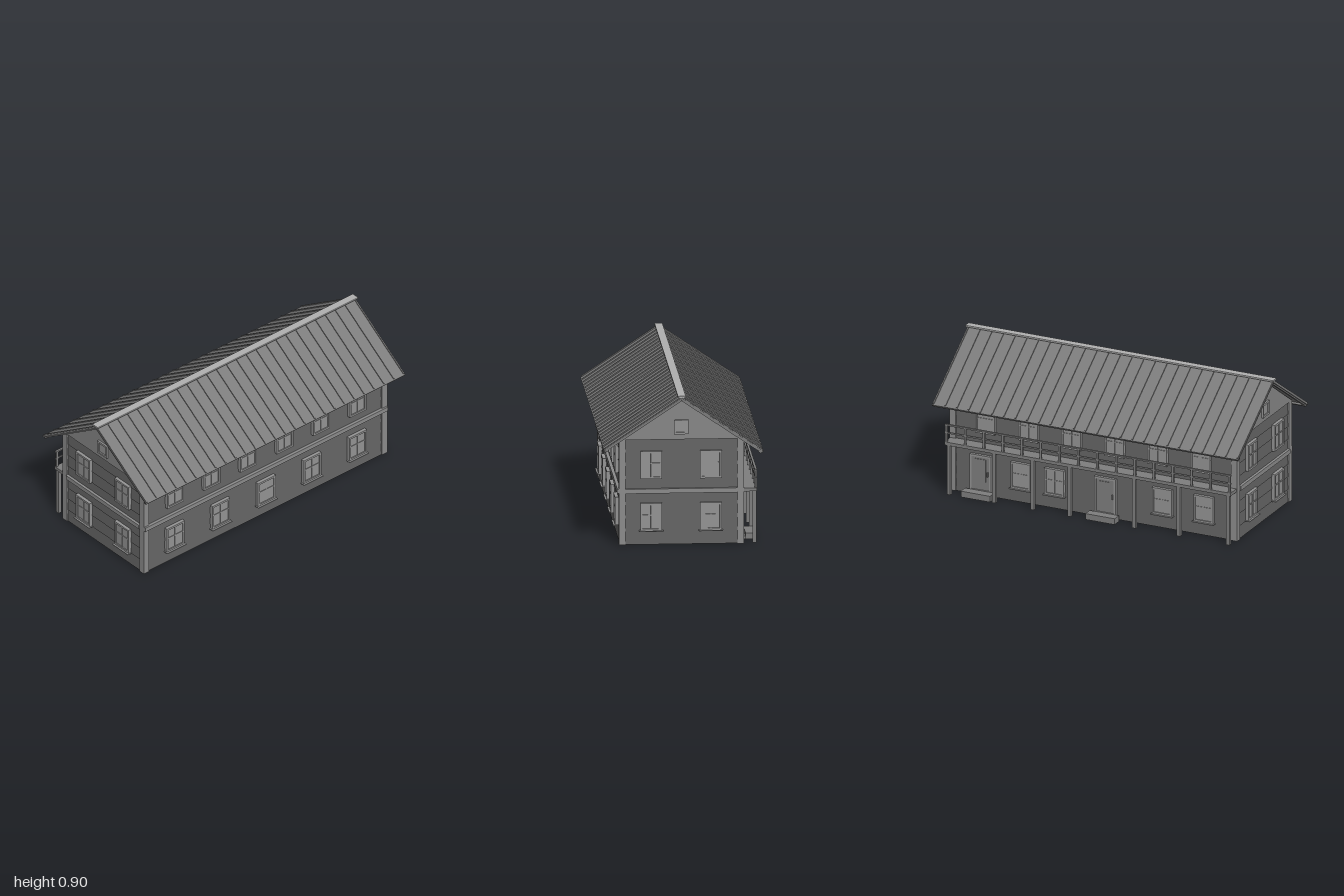
import * as THREE from 'three';

const paint = color => new THREE.MeshStandardMaterial({ color, side: THREE.DoubleSide });
const SIDING = paint(0x636363), TRIM = paint(0x8c8c8c), FRAME = paint(0x949494), GABLE = paint(0x878787);
const ROOF = paint(0x7c7c7c), RIDGE = paint(0xb0b0b0), TIMBER = paint(0x7e7e7e);
const RIGHT = 0.925, FRONT = 0.366, BACK = -0.346, MID = 0.01;

function box(parent, material, name, w, h, d, x, y, z) {
  const mesh = new THREE.Mesh(new THREE.BoxGeometry(w, h, d), material);
  mesh.name = name;
  mesh.position.set(x, y, z);
  parent.add(mesh);
  return mesh;
}

function group(parent, name, x = 0, y = 0, z = 0, turn = 0) {
  const g = new THREE.Group();
  g.name = name;
  g.position.set(x, y, z);
  g.rotation.y = turn;
  parent.add(g);
  return g;
}

// Rectangular casing with an opening, facing +z
function casing(parent, name, w, h, bar, depth) {
  const shape = new THREE.Shape();
  shape.moveTo(-w / 2, -h / 2).lineTo(w / 2, -h / 2).lineTo(w / 2, h / 2).lineTo(-w / 2, h / 2).closePath();
  const a = w / 2 - bar, b = h / 2 - bar, hole = new THREE.Path();
  hole.moveTo(-a, -b).lineTo(-a, b).lineTo(a, b).lineTo(a, -b).closePath();
  shape.holes.push(hole);
  const mesh = new THREE.Mesh(new THREE.ExtrudeGeometry(shape, { depth, bevelEnabled: false }), FRAME);
  mesh.name = name;
  parent.add(mesh);
}

function addWindow(parent, x, y, z, turn, { w = 0.127, h = 0.165, sill = false, muntins = true } = {}) {
  const g = group(parent, 'window', x, y, z, turn);
  casing(g, 'windowFrame', w, h, 0.012, 0.022);
  box(g, FRAME, 'glass', w - 0.02, h - 0.02, 0.012, 0, 0, 0.009);
  if (muntins) {
    box(g, FRAME, 'verticalMuntin', 0.007, h - 0.02, 0.018, 0, 0, 0.01);
    box(g, FRAME, 'horizontalMuntin', w - 0.02, 0.007, 0.018, 0, 0.01, 0.01);
  }
  if (sill) box(g, FRAME, 'windowSill', w + 0.014, 0.005, 0.033, 0, -h / 2 - 0.002, 0.016);
}

function addDoor(parent, x) {
  const g = group(parent, 'door', x, 0.14, BACK, Math.PI);
  casing(g, 'doorFrame', 0.14, 0.23, 0.012, 0.02);
  box(g, TIMBER, 'doorLeaf', 0.118, 0.21, 0.012, 0, 0, 0.008);
  box(g, TIMBER, 'doorPanel', 0.07, 0.14, 0.006, 0, 0.02, 0.015);
  box(g, TIMBER, 'doorHandle', 0.006, 0.03, 0.01, 0.047, 0, 0.018);
  box(parent, TIMBER, 'threshold', 0.17, 0.017, 0.028, x, 0.0085, BACK - 0.014);
  box(parent, TIMBER, 'doorStep', 0.19, 0.037, 0.057, x, 0.0185, -0.4015);
}

// Overlapping boards, each leaning slightly out at its lower edge
function addWall(parent, name, length, x, z, turn) {
  const g = group(parent, name, x, 0, z, turn), rows = 8, rise = 0.63 / rows;
  for (let i = 0; i < rows; i++) {
    box(g, SIDING, 'board', length, rise, 0.012, 0, (i + 0.5) * rise, -0.006).rotation.x = -0.07;
  }
}

export function createModel() {
  const house = new THREE.Group();
  house.name = 'house';

  // Walls, hollow inside
  const walls = group(house, 'walls');
  addWall(walls, 'frontWall', 2 * RIGHT - 0.01, 0, FRONT, 0);
  addWall(walls, 'backWall', 2 * RIGHT - 0.01, 0, BACK, Math.PI);
  for (const s of [-1, 1]) {
    addWall(walls, 'endWall', FRONT - BACK - 0.01, s * RIGHT, MID, s * Math.PI / 2);
    for (const z of [0.3565, -0.3365]) box(walls, TRIM, 'cornerBoard', 0.04, 0.63, 0.037, s * 0.915, 0.315, z);
    box(walls, TRIM, 'endBelt', 0.02, 0.027, 0.656, s * 0.933, 0.3215, MID);

    // Triangular gable
    const tri = new THREE.Shape();
    tri.moveTo(-0.365, 0.628).lineTo(0.365, 0.628).lineTo(0, 0.877).closePath();
    const gable = new THREE.Mesh(new THREE.ExtrudeGeometry(tri, { depth: 0.015, bevelEnabled: false }), GABLE);
    gable.name = 'gable';
    gable.rotation.y = s * Math.PI / 2;
    gable.position.set(s * 0.935 - (s > 0 ? 0.015 : -0.015), 0, MID);
    walls.add(gable);
  }
  box(walls, TRIM, 'frontBelt', 1.865, 0.027, 0.022, 0, 0.3215, 0.375);

  // Windows and doors
  const openings = group(house, 'openings');
  for (let i = 0; i < 6; i++) {
    const x = -0.7 + i * 0.28;
    addWindow(openings, x, 0.478, FRONT, 0);
    addWindow(openings, x, 0.478, BACK, Math.PI);
  }
  for (let i = 0; i < 5; i++) addWindow(openings, -0.7 + i * 0.35, 0.168, FRONT, 0, { w: 0.135, sill: true });
  for (const x of [0.47, 0.25, -0.45, -0.72]) addWindow(openings, x, 0.168, BACK, Math.PI, { sill: true });
  for (const s of [-1, 1]) {
    const turn = s * Math.PI / 2;
    for (const z of [0.187, -0.162]) {
      addWindow(openings, s * RIGHT, 0.478, z, turn);
      addWindow(openings, s * RIGHT, 0.168, z, turn, { sill: true });
    }
    addWindow(openings, s * RIGHT, 0.703, 0.012, turn, { w: 0.085, h: 0.085, muntins: false });
  }
  for (const x of [0.73, -0.08]) addDoor(openings, x);

  // Roof slopes with standing seams, hung from the ridge
  const roof = group(house, 'roof');
  for (const [s, len, tilt] of [[1, 0.549, 0.588], [-1, 0.579, 0.596]]) {
    const slope = group(roof, 'roofSlope', 0, 0.888, 0.012);
    slope.rotation.x = s * tilt;
    box(slope, ROOF, 'roofPanel', 1.99, 0.009, len, 0, -0.0045, s * len / 2);
    box(slope, ROOF, 'eaveBoard', 1.98, 0.012, 0.02, 0, -0.015, s * (len - 0.014));
    for (const e of [-1, 1]) box(slope, ROOF, 'bargeBoard', 0.015, 0.008, len - 0.02, e * 0.98, -0.013, s * len / 2);
    for (let i = 0; i <= 26; i++) {
      box(slope, ROOF, 'roofSeam', 0.008, 0.008, len - 0.008, -0.988 + i * 0.076, 0.002, s * (len / 2 - 0.004));
    }
  }
  box(roof, RIDGE, 'ridgeCap', 2, 0.01, 0.046, 0, 0.895, 0.012);

  // Balcony along the back
  const balcony = group(house, 'balcony');
  box(balcony, TIMBER, 'balconyDeck', 1.86, 0.02, 0.09, 0, 0.32, -0.388);
  for (const x of [0.905, 0.61, 0.36, 0.12, -0.3, -0.59, -0.91]) {
    box(balcony, TIMBER, 'balconyPost', 0.022, 0.312, 0.022, x, 0.156, -0.419);
  }
  for (let i = 0; i < 16; i++) {
    box(balcony, TIMBER, 'baluster', 0.013, 0.11, 0.011, -0.92 + i * 0.1227, 0.382, -0.426);
  }
  box(balcony, TIMBER, 'handRail', 1.86, 0.009, 0.014, 0, 0.437, -0.426);
  box(balcony, TIMBER, 'middleRail', 1.86, 0.009, 0.008, 0, 0.388, -0.426);

  return house;
}
